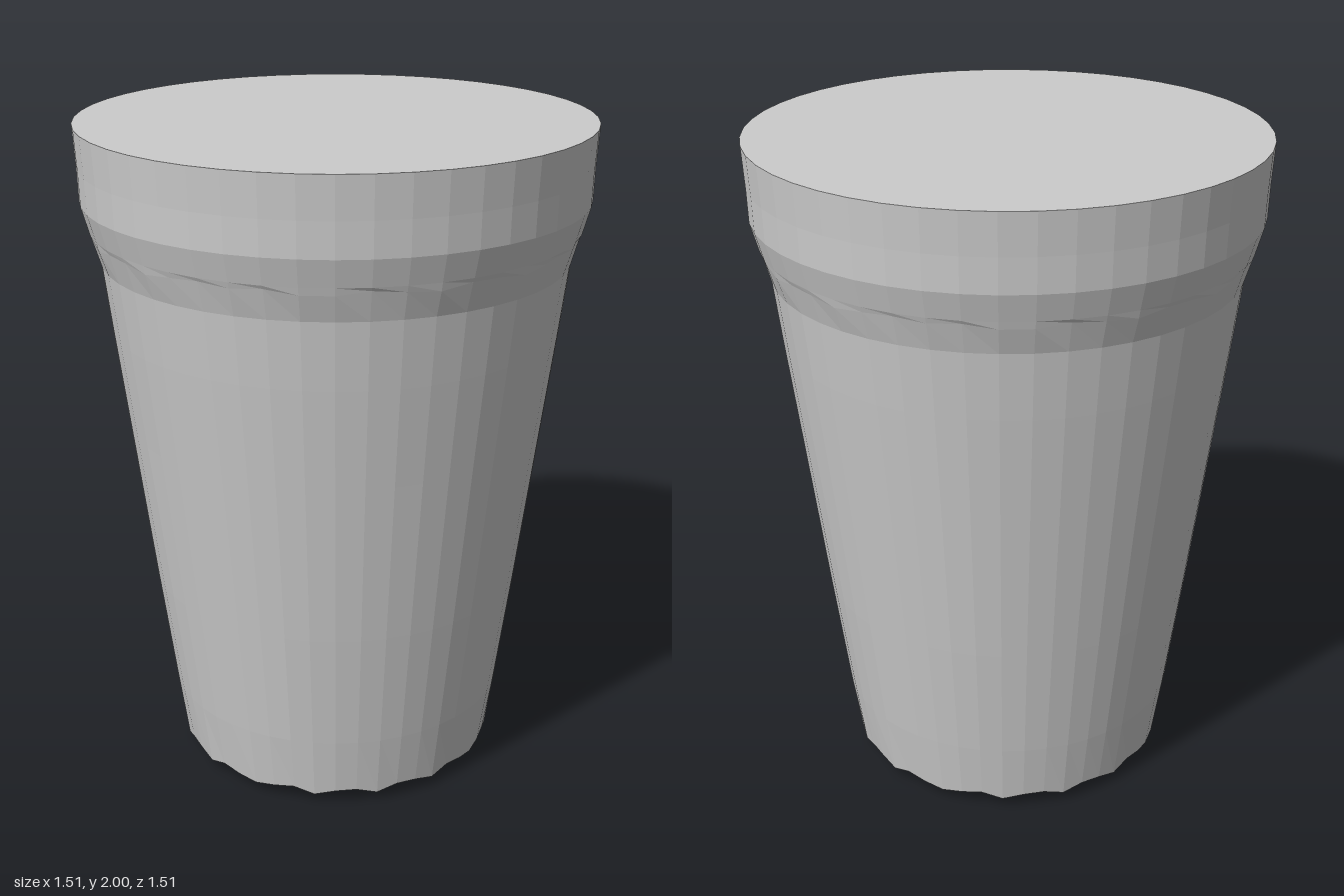
import * as THREE from 'three';

const SIDES = 48;

// Profile from the base centre up to the lid centre: [radius, height]
const PROFILE = [
  [0, 0], [0.41, 0], [0.49, 0.042], [0.518, 0.23], [0.567, 0.6], [0.63, 1.1],
  [0.668, 1.4], [0.692, 1.6], [0.717, 1.685], [0.723, 1.7], [0.745, 1.78],
  [0.748, 1.88], [0.755, 2], [0, 2],
];
const BEVEL_RING = 2;
const SHOULDER_RING = 8;

export function createModel() {
  const group = new THREE.Group();
  group.name = 'cup';

  const geometry = new THREE.LatheGeometry(
    PROFILE.map(([r, y]) => new THREE.Vector2(r, y)), SIDES);

  // Uneven, hand-cut edges on the base bevel and beneath the rim band
  const position = geometry.attributes.position;
  for (let i = 0; i <= SIDES; i++) {
    const k = i % (SIDES / 4); // the unevenness repeats every quarter turn
    const bevel = i * PROFILE.length + BEVEL_RING;
    position.setY(bevel, 0.042 + 0.011 * Math.sin(k * 2.2));
    const shoulder = i * PROFILE.length + SHOULDER_RING;
    position.setY(shoulder, 1.682 + 0.008 * Math.sin(k * 1.9));
  }
  // Drop the lathe's smooth normals in favour of one per face
  const faceted = geometry.toNonIndexed();
  faceted.computeVertexNormals();

  const body = new THREE.Mesh(faceted, new THREE.MeshStandardMaterial({
    color: 0xcccccc, flatShading: true,
  }));
  body.name = 'taperedBodyWithRim';
  group.add(body);
  return group;
}
